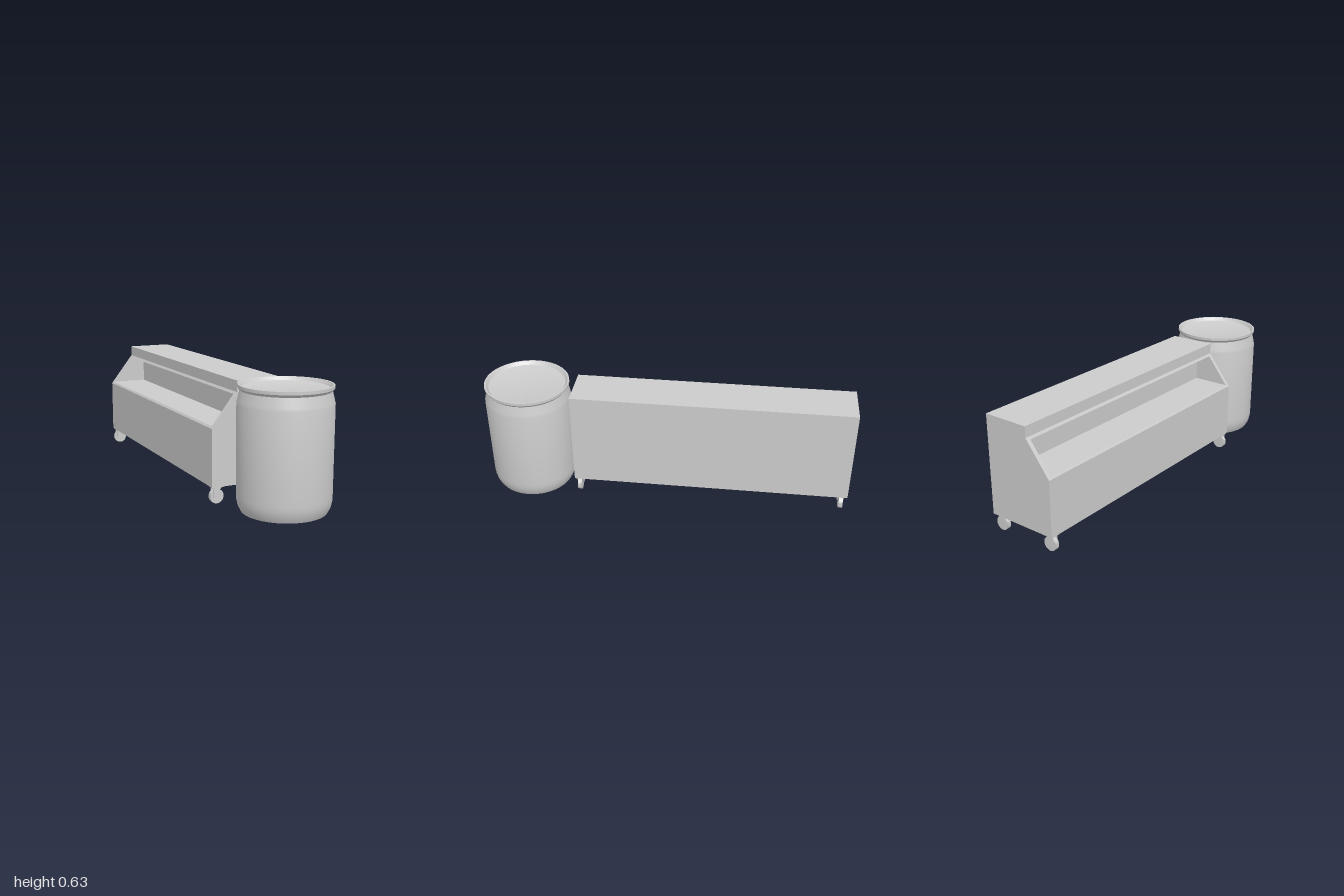
import * as THREE from 'three';
import { toCreasedNormals } from 'three/addons/utils/BufferGeometryUtils.js';

const material = new THREE.MeshStandardMaterial({ color: 0xcccccc });

function addMesh(parent, name, geometry) {
  const mesh = new THREE.Mesh(geometry, material);
  mesh.name = name;
  parent.add(mesh);
  return mesh;
}

// Extrude an outline drawn in x and y between two z positions
function slab(points, z0, z1) {
  const shape = new THREE.Shape(points.map(([x, y]) => new THREE.Vector2(x, y)));
  const geometry = new THREE.ExtrudeGeometry(shape, { depth: z1 - z0, bevelEnabled: false });
  return geometry.translate(0, 0, z0);
}

// Barrel with tapered shoulders, flared rim and sunken lid
function createBarrel() {
  const profile = [
    [0, 0.017], [0.209, 0.017], [0.223, 0.043], [0.23, 0.075], [0.231, 0.1],
    [0.232, 0.54], [0.229, 0.553], [0.217, 0.602], [0.228, 0.615], [0.228, 0.63],
    [0.22, 0.63], [0.207, 0.613], [0.197, 0.61], [0, 0.61],
  ].map(([r, y]) => new THREE.Vector2(r, y));
  return toCreasedNormals(new THREE.LatheGeometry(profile, 48), 0.42);
}

// Swivel caster: mounting plate, two fork cheeks, axle and wheel
function createCaster() {
  const caster = new THREE.Group();
  caster.name = 'caster';
  const plate = addMesh(caster, 'casterPlate', new THREE.BoxGeometry(0.06, 0.007, 0.044));
  plate.position.set(0, 0.0875, 0);

  const cheek = [[-0.023, 0.085], [-0.023, 0.033], [-0.01, 0.033], [0.004, 0.05], [0.02, 0.085]];
  for (const z of [-0.017, 0.012]) addMesh(caster, 'forkCheek', slab(cheek, z, z + 0.005));
  const bridge = addMesh(caster, 'forkBridge', new THREE.BoxGeometry(0.04, 0.008, 0.034));
  bridge.position.set(-0.002, 0.081, 0);

  const wheelGeometry = toCreasedNormals(new THREE.CylinderGeometry(0.037, 0.037, 0.022, 28), 0.6);
  const wheel = addMesh(caster, 'wheel', wheelGeometry);
  wheel.rotation.x = Math.PI / 2;
  wheel.position.y = 0.037;
  const axle = addMesh(caster, 'axle', new THREE.CylinderGeometry(0.006, 0.006, 0.032, 12));
  axle.rotation.x = Math.PI / 2;
  axle.position.set(-0.012, 0.039, 0);
  return caster;
}

// Long cabinet with an open recess in its sloping side
function createCabinet() {
  const cabinet = new THREE.Group();
  cabinet.name = 'cabinet';
  const back = -1, front = 0.51, wall = 0.022;

  const outline = [[-0.245, 0.088], [0.14, 0.088], [0.14, 0.615], [-0.11, 0.615], [-0.11, 0.558], [-0.245, 0.385]];
  const recess = [[-0.119, 0.546], [-0.035, 0.546], [-0.035, 0.395], [-0.237, 0.395]];
  const section = [...outline.slice(0, 5), ...recess, outline[5]];

  addMesh(cabinet, 'cabinetBody', slab(section, back + wall, front - wall));
  addMesh(cabinet, 'backEndPanel', slab(outline, back, back + wall));
  addMesh(cabinet, 'frontEndPanel', slab(outline, front - wall, front));

  for (const x of [-0.212, 0.105]) {
    for (const z of [-0.968, 0.485]) {
      const caster = createCaster();
      caster.position.set(x, 0, z);
      cabinet.add(caster);
    }
  }
  return cabinet;
}

export function createModel() {
  const model = new THREE.Group();
  model.name = 'cabinetAndBarrel';
  model.add(createCabinet());
  const barrel = addMesh(model, 'barrel', createBarrel());
  barrel.position.set(0.015, 0, 0.766);
  return model;
}
